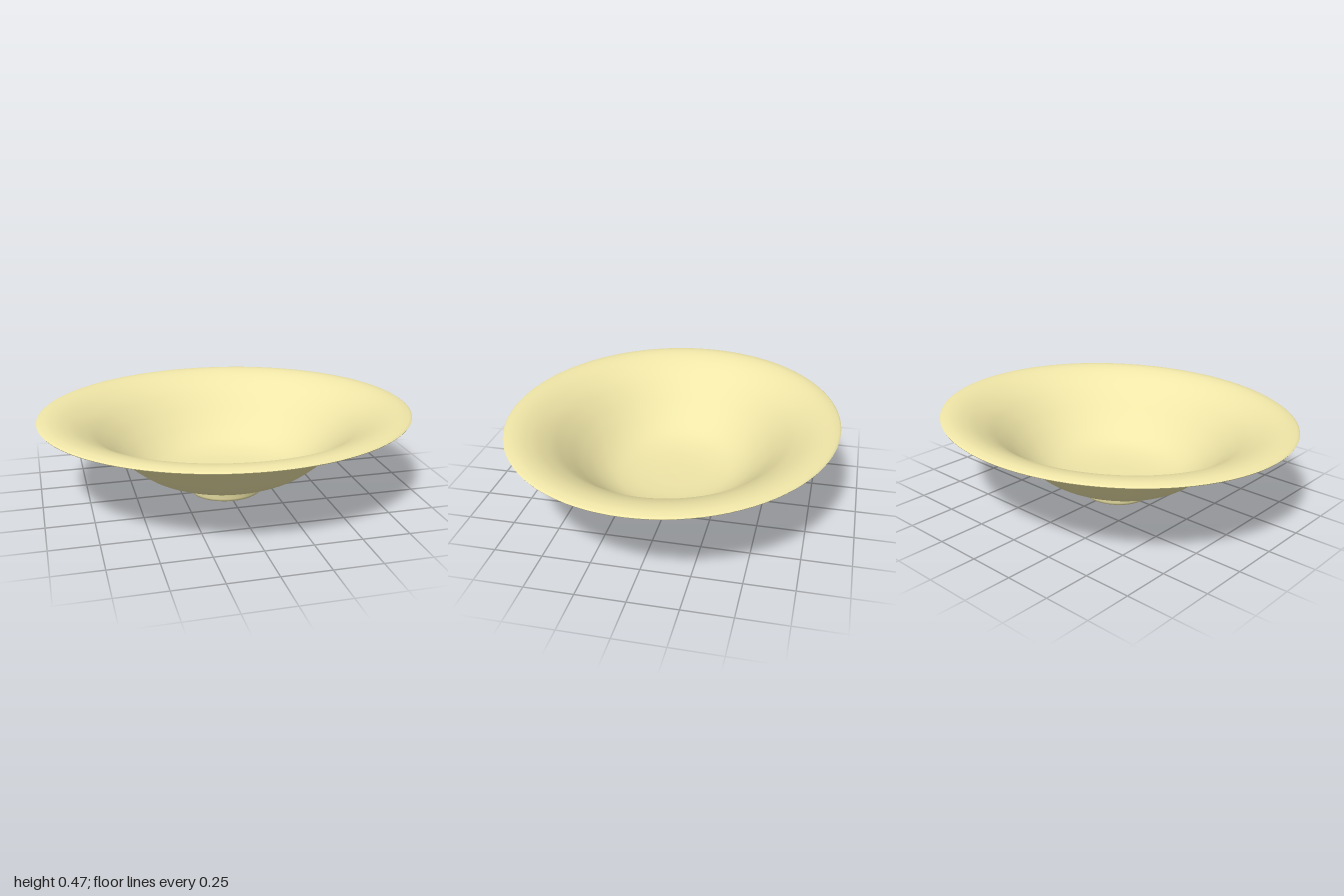
import * as THREE from 'three';

const DEPTH = 0.88; // oval plan: z radius relative to x radius
const SEGMENTS = 96;

// Smooth profile through a few (radius, height) points
function smooth(points, steps) {
  const curve = new THREE.SplineCurve(points.map(([r, y]) => new THREE.Vector2(r, y)));
  return curve.getPoints(steps);
}

// Oval lathe: a circular lathe squeezed along z
function ovalLathe(name, profile, material) {
  const geometry = new THREE.LatheGeometry(profile, SEGMENTS);
  geometry.scale(1, 1, DEPTH);
  const mesh = new THREE.Mesh(geometry, material);
  mesh.name = name;
  return mesh;
}

export function createModel() {
  const group = new THREE.Group();
  group.name = 'bowl';
  const glaze = new THREE.MeshStandardMaterial({ color: 0xf0e6a8, side: THREE.DoubleSide });

  // Flat base and short rounded foot
  const foot = [
    new THREE.Vector2(0, 0.002), new THREE.Vector2(0.12, 0.002),
    ...smooth([[0.17, 0.001], [0.188, 0.003], [0.199, 0.014], [0.203, 0.03], [0.208, 0.05], [0.222, 0.066], [0.25, 0.077]], 28),
  ];
  group.add(ovalLathe('foot', foot, glaze));

  // Outer wall sweeping out to the flared rim
  const outer = smooth([
    [0.25, 0.077], [0.33, 0.096], [0.44, 0.143], [0.52, 0.2], [0.6, 0.27], [0.68, 0.34],
    [0.75, 0.39], [0.82, 0.425], [0.89, 0.445], [0.96, 0.453], [0.993, 0.457], [1, 0.463],
  ], 60);
  group.add(ovalLathe('outerWall', outer, glaze));

  // Rounded rim and inner hollow down to the drain ring
  const inner = smooth([
    [1, 0.463], [0.985, 0.47], [0.94, 0.475], [0.88, 0.467], [0.81, 0.443], [0.73, 0.4], [0.65, 0.339],
    [0.56, 0.262], [0.47, 0.194], [0.38, 0.148], [0.28, 0.124], [0.16, 0.113], [0.042, 0.11],
  ], 64);
  group.add(ovalLathe('innerBowl', inner, glaze));

  // Small centre disc
  const centre = [new THREE.Vector2(0.042, 0.11), new THREE.Vector2(0, 0.109)];
  group.add(ovalLathe('centreDisc', centre, glaze));

  return group;
}
